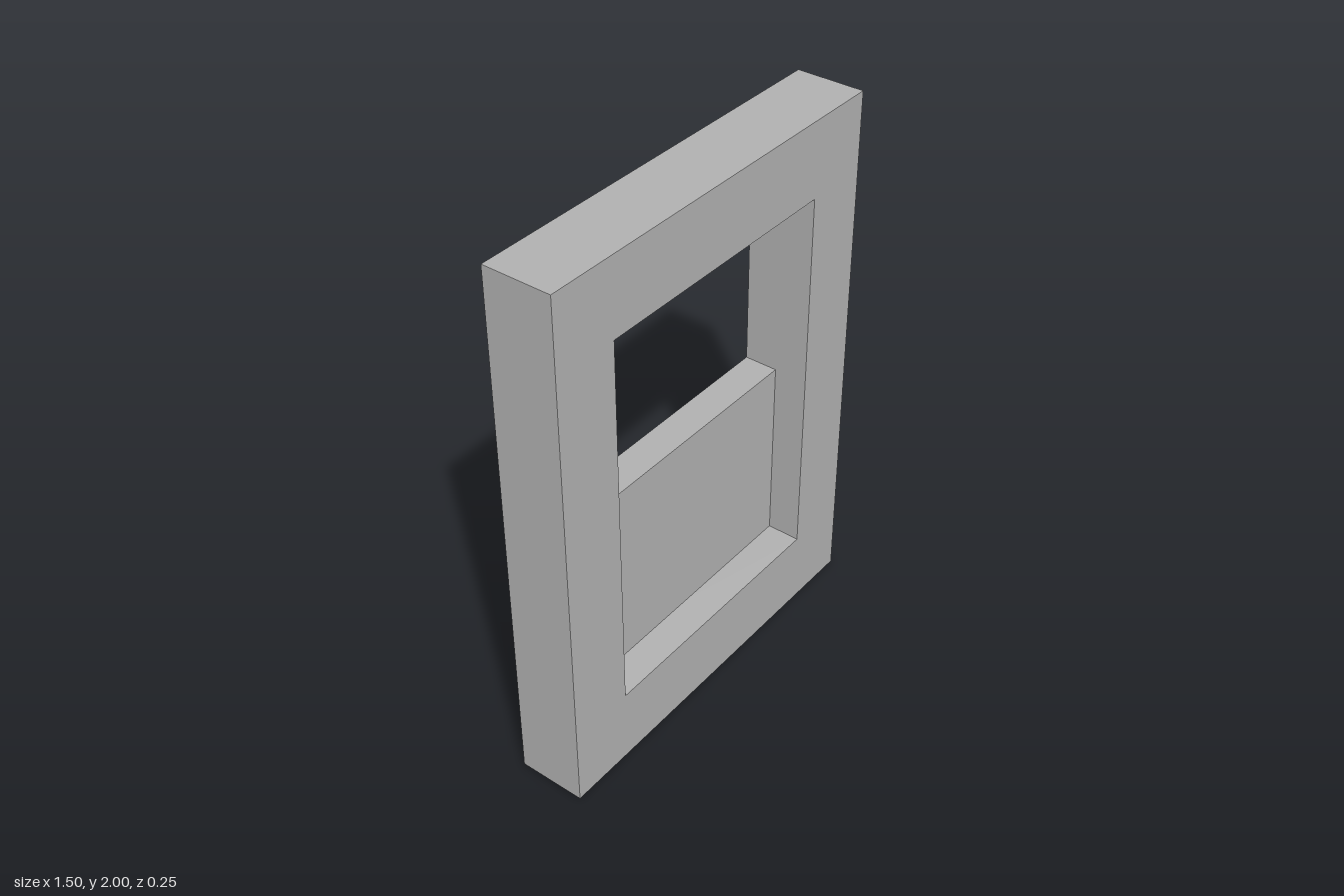
import * as THREE from 'three';

// Traces a counter-clockwise rectangle onto a path or shape.
function rect(path, x0, y0, x1, y1) {
  path.moveTo(x0, y0);
  path.lineTo(x1, y0);
  path.lineTo(x1, y1);
  path.lineTo(x0, y1);
  path.closePath();
  return path;
}

export function createModel() {
  const model = new THREE.Group();
  model.name = 'windowFrameModel';

  const grey = new THREE.MeshStandardMaterial({ color: 0xb2b2b2 });
  grey.name = 'plain grey';

  const depth = 0.25;
  const opening = { x: 0.5, bottom: 0.285, top: 1.72 };
  const panelTop = 1.0;

  // Surrounding frame with one tall opening
  const outline = rect(new THREE.Shape(), -0.75, 0, 0.75, 2);
  outline.holes.push(rect(new THREE.Path(), -opening.x, opening.bottom, opening.x, opening.top));
  const frame = new THREE.Mesh(
    new THREE.ExtrudeGeometry(outline, { depth, bevelEnabled: false }),
    grey
  );
  frame.name = 'frame';
  frame.position.z = -depth / 2;
  model.add(frame);

  // Lower panel, half as deep as the frame and flush with its back
  const panelHeight = panelTop - opening.bottom;
  const panel = new THREE.Mesh(
    new THREE.BoxGeometry(opening.x * 2, panelHeight, depth / 2),
    grey
  );
  panel.name = 'lowerPanel';
  panel.position.set(0, opening.bottom + panelHeight / 2, -depth / 4);
  model.add(panel);

  return model;
}
